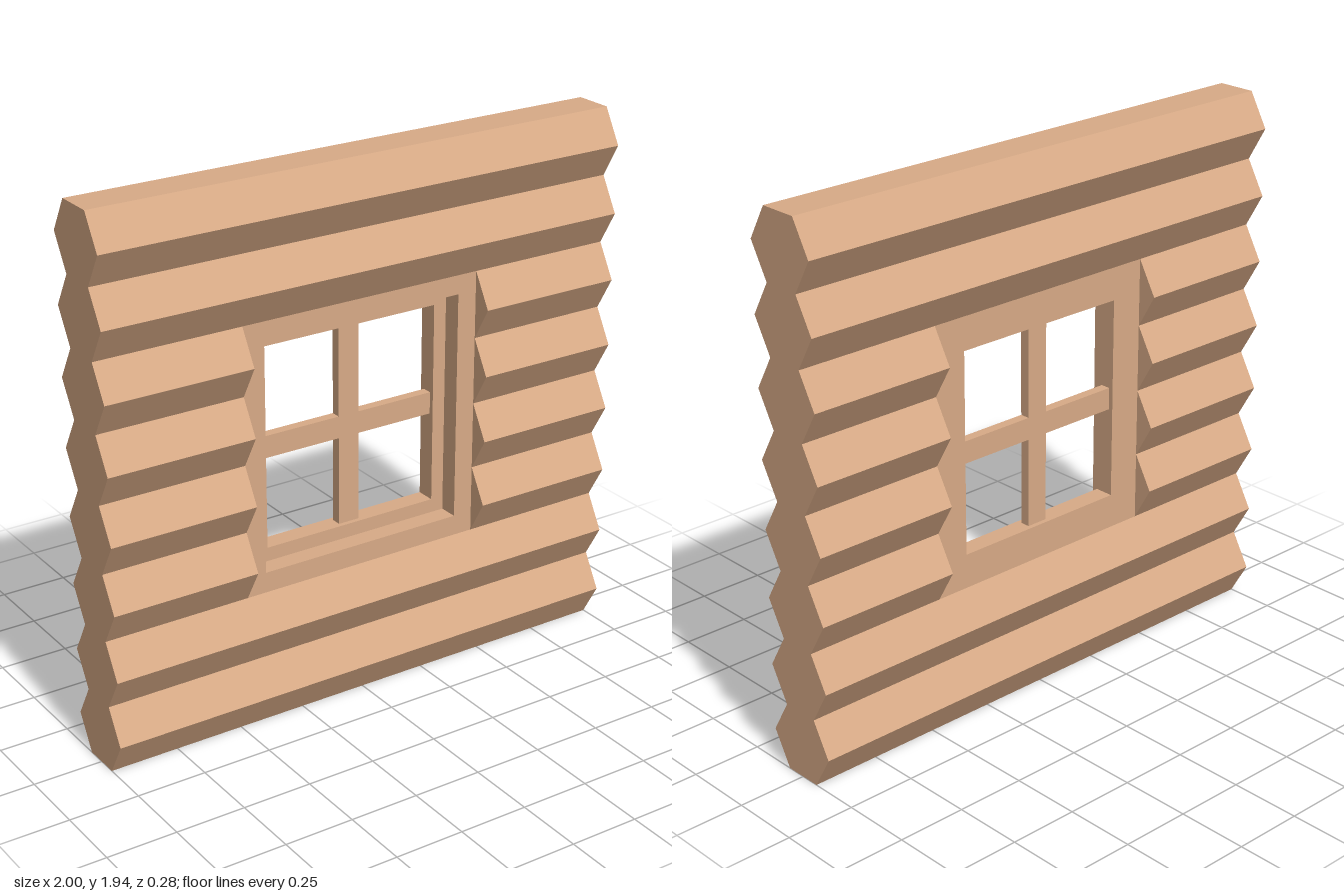
import * as THREE from 'three';

const LOG_H = 0.2431; // height of one log
const FLAT = 0.07; // half depth at the seams between logs
const RIDGE = 0.14; // half depth at the ridge of a log

const wood = new THREE.MeshStandardMaterial({ color: 0xd9ab87, flatShading: true });

function rectPath(path, x0, x1, y0, y1) {
  path.moveTo(x0, y0);
  path.lineTo(x1, y0);
  path.lineTo(x1, y1);
  path.lineTo(x0, y1);
  path.closePath();
  return path;
}

// Stack of hexagonal logs from x0 to x1, as one zigzag profile
function logStack(name, first, count, x0, x1) {
  const right = [], left = [];
  for (let i = 0; i <= count * 2; i++) {
    const y = (first + i / 2) * LOG_H;
    const d = i % 2 ? RIDGE : FLAT;
    right.push(new THREE.Vector2(d, y));
    left.unshift(new THREE.Vector2(-d, y));
  }
  const shape = new THREE.Shape([...right, ...left]);
  const geo = new THREE.ExtrudeGeometry(shape, { depth: x1 - x0, bevelEnabled: false });
  geo.rotateY(-Math.PI / 2).translate(x1, 0, 0);
  const mesh = new THREE.Mesh(geo, wood);
  mesh.name = name;
  return mesh;
}

// Flat slab with a rectangular hole, from z0 to z1
function framePlate(name, outer, hole, z0, z1) {
  const shape = rectPath(new THREE.Shape(), ...outer);
  shape.holes.push(rectPath(new THREE.Path(), ...hole));
  const geo = new THREE.ExtrudeGeometry(shape, { depth: z1 - z0, bevelEnabled: false });
  geo.translate(0, 0, z0);
  const mesh = new THREE.Mesh(geo, wood);
  mesh.name = name;
  return mesh;
}

function bar(name, w, h, x, y) {
  const mesh = new THREE.Mesh(new THREE.BoxGeometry(w, h, 0.036), wood);
  mesh.position.set(x, y, -0.035);
  mesh.name = name;
  return mesh;
}

export function createModel() {
  const group = new THREE.Group();
  group.name = 'logWallWithWindow';
  const frameL = -0.463, frameR = 0.46;

  // Log courses below, above and beside the window
  group.add(
    logStack('lowerLogs', 0, 2, -1, 1),
    logStack('upperLogs', 6, 2, -1, 1),
    logStack('rightLogs', 2, 4, -1, frameL),
    logStack('leftLogs', 2, 4, frameR, 1)
  );

  // Window frame: wide recess in front, smaller opening behind
  const outer = [frameL, frameR, 2 * LOG_H, 6 * LOG_H];
  const recess = [-0.39, 0.387, 0.56, 1.39];
  const opening = [-0.34, 0.338, 0.61, 1.34];
  const frame = new THREE.Group();
  frame.name = 'windowFrame';
  frame.add(
    framePlate('frontFrame', outer, recess, 0, FLAT),
    framePlate('backFrame', outer, opening, -FLAT, 0)
  );
  group.add(frame);

  // Crossed glazing bars
  const bars = new THREE.Group();
  bars.name = 'glazingBars';
  bars.add(bar('verticalBar', 0.08, 0.73, 0, 0.975));
  for (const s of [-1, 1]) {
    bars.add(bar(s < 0 ? 'rightCrossBar' : 'leftCrossBar', 0.3, 0.08, s * 0.19, 0.973));
  }
  group.add(bars);

  return group;
}
